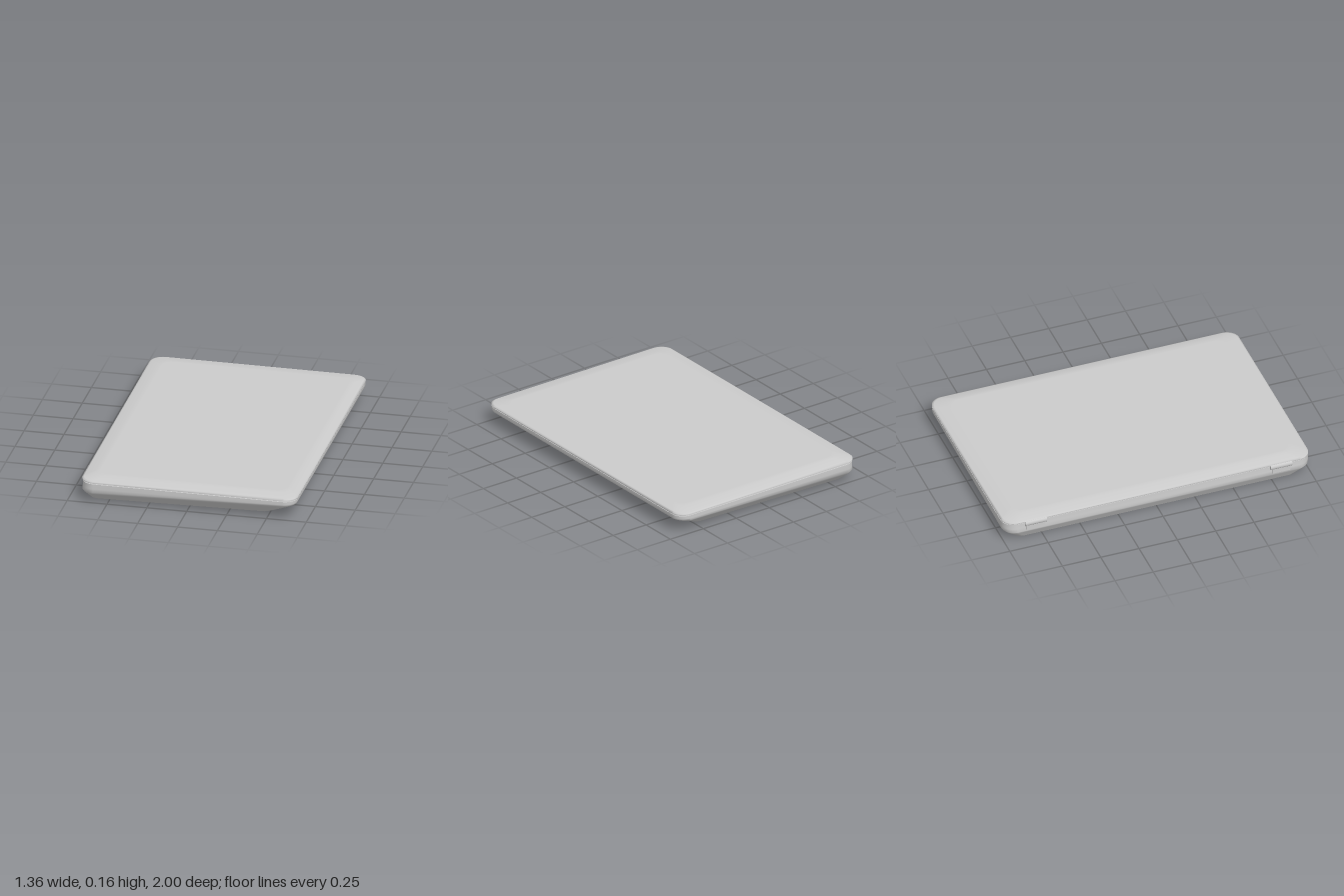
import * as THREE from 'three';
import { mergeGeometries } from 'three/addons/utils/BufferGeometryUtils.js';

const CORNER = 8; // segments per rounded corner

// Rounded rectangle ring; the height slopes from yBack (at -x) to yFront (at +x)
function ring([x0, x1, hz, r, yBack, yFront]) {
  const pts = [];
  const corners = [[x1 - r, hz - r], [x0 + r, hz - r], [x0 + r, r - hz], [x1 - r, r - hz]];
  corners.forEach(([cx, cz], q) => {
    for (let i = 0; i <= CORNER; i++) {
      const a = (q + i / CORNER) * Math.PI / 2;
      const x = cx + r * Math.cos(a), z = cz + r * Math.sin(a);
      pts.push([x, yBack + (yFront - yBack) * (x - x0) / (x1 - x0), z]);
    }
  });
  return pts;
}

// Smooth skin through rings ordered from bottom to top
function skin(specs) {
  const rings = specs.map(ring), n = rings[0].length, index = [];
  for (let i = 0; i < rings.length - 1; i++) {
    for (let j = 0; j < n; j++) {
      const k = (j + 1) % n, a = i * n + j, b = i * n + k;
      index.push(a, a + n, b, b, a + n, b + n);
    }
  }
  return build(rings.flat(), index);
}

// Flat cap over one ring
function cap(spec, up) {
  const pts = ring(spec), n = pts.length, index = [];
  const mid = [(spec[0] + spec[1]) / 2, (spec[4] + spec[5]) / 2, 0];
  for (let j = 0; j < n; j++) {
    const k = (j + 1) % n;
    index.push(n, up ? k : j, up ? j : k);
  }
  return build([...pts, mid], index);
}

function build(points, index) {
  const g = new THREE.BufferGeometry();
  g.setAttribute('position', new THREE.Float32BufferAttribute(points.flat(), 3));
  g.setIndex(index);
  g.computeVertexNormals();
  return g;
}

function shell(specs) {
  return mergeGeometries([cap(specs[0], false), skin(specs), cap(specs[specs.length - 1], true)]);
}

export function createModel() {
  const group = new THREE.Group();
  const material = new THREE.MeshStandardMaterial({ color: 0xcccccc });
  const add = (name, geometry, x = 0, y = 0, z = 0) => {
    const mesh = new THREE.Mesh(geometry, material);
    mesh.name = name;
    mesh.position.set(x, y, z);
    group.add(mesh);
    return mesh;
  };

  // Each ring: xBack, xFront, half depth, corner radius, yBack, yFront
  add('base', shell([
    [-0.632, 0.52, 0.925, 0.06, 0.0, 0.015],
    [-0.662, 0.645, 0.985, 0.075, 0.05, 0.074],
    [-0.671, 0.673, 0.998, 0.08, 0.066, 0.089],
    [-0.668, 0.677, 1.0, 0.08, 0.09, 0.1],
    [-0.666, 0.677, 1.0, 0.08, 0.123, 0.118],
  ]));

  // Recessed strip showing in the seam under the lid
  add('seam', shell([
    [-0.655, 0.667, 0.99, 0.07, 0.118, 0.112],
    [-0.655, 0.667, 0.99, 0.07, 0.134, 0.128],
  ]));

  add('lid', shell([
    [-0.67, 0.678, 1.0, 0.08, 0.129, 0.122],
    [-0.672, 0.68, 1.0, 0.08, 0.139, 0.133],
    [-0.662, 0.67, 0.99, 0.08, 0.143, 0.138],
    [-0.605, 0.625, 0.925, 0.07, 0.154, 0.149],
    [-0.58, 0.6, 0.9, 0.07, 0.155, 0.15],
  ]));

  // Hinge barrels along the back edge, each with a bracket down to the base
  for (const s of [1, -1]) {
    const side = s > 0 ? 'Left' : 'Right';
    const barrel = new THREE.CylinderGeometry(0.021, 0.021, 0.14, 20).rotateX(Math.PI / 2);
    add('hinge' + side, barrel, -0.66, 0.119, s * 0.8);
    add('hingeBracket' + side, new THREE.BoxGeometry(0.03, 0.04, 0.12), -0.661, 0.095, s * 0.8);
  }
  return group;
}
